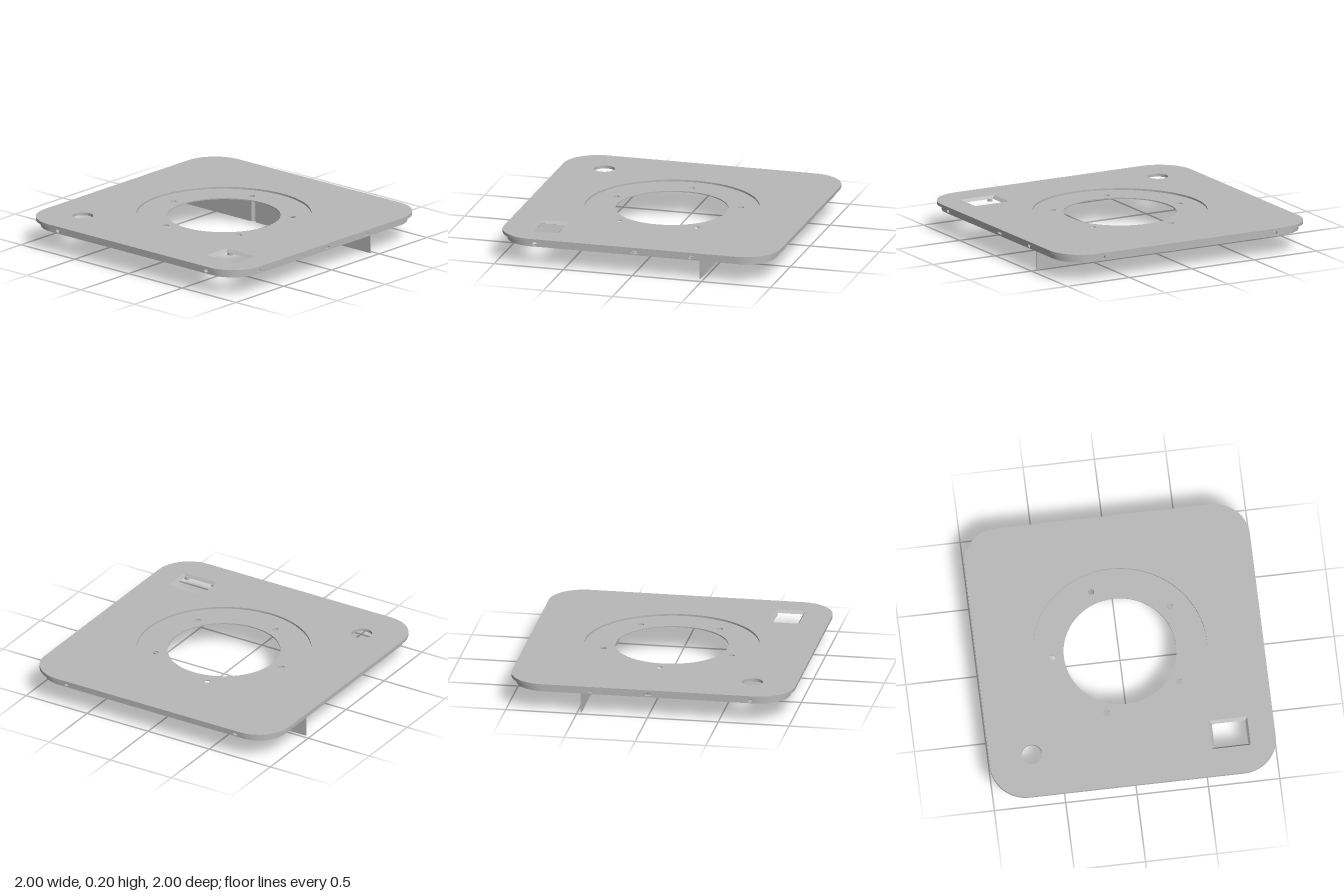
import * as THREE from 'three';
import { toCreasedNormals } from 'three/addons/utils/BufferGeometryUtils.js';

const TOP = 0.203, UNDER = 0.182, WALL_BOTTOM = 0.139;
const OUT = 0.966, THICK = 0.022, STRAIGHT = 0.75;

export function createModel() {
  const model = new THREE.Group();
  model.name = 'mountingPlate';
  const grey = new THREE.MeshStandardMaterial({ color: 0xb8b8b8, side: THREE.DoubleSide });
  grey.name = 'plain grey';

  const add = (name, geometry, parent = model) => {
    const mesh = new THREE.Mesh(geometry, grey);
    mesh.name = name;
    parent.add(mesh);
    return mesh;
  };
  const circle = (x, y, r) => new THREE.Path().absarc(x, y, r, 0, Math.PI * 2, true);
  const rect = (x0, y0, x1, y1, Type = THREE.Shape) => new Type([
    [x0, y0], [x1, y0], [x1, y1], [x0, y1], [x0, y0],
  ].map(([x, y]) => new THREE.Vector2(x, y)));
  const extrude = (shape, depth) => toCreasedNormals(
    new THREE.ExtrudeGeometry(shape, { depth, bevelEnabled: false, curveSegments: 32 }), 0.5);
  // Plan shape (x, z) extruded down from a top height
  const slab = (shape, top, bottom) =>
    extrude(shape, top - bottom).rotateX(Math.PI / 2).translate(0, top, 0);

  // Top plate with rounded corners
  const plate = new THREE.Shape();
  for (let i = 0; i < 4; i++) {
    const a = i * Math.PI / 2;
    const sx = i === 0 || i === 3 ? 1 : -1, sz = i < 2 ? 1 : -1;
    plate.absarc(sx * STRAIGHT, sz * STRAIGHT, 0.25, a, a + Math.PI / 2, false);
  }
  plate.closePath();
  const winTop = [0.55, 0.59, 0.82, 0.80], winLow = [0.57, 0.61, 0.805, 0.785];
  plate.holes.push(circle(0, 0, 0.61), circle(-0.7, 0.69, 0.072), rect(...winTop, THREE.Path));
  add('topPlate', slab(plate, TOP, UNDER));

  // Recessed ring with five screw holes around the large opening
  const ring = new THREE.Shape().absarc(0, 0, 0.61, 0, Math.PI * 2, false);
  ring.holes.push(circle(0, 0, 0.393));
  for (let i = 0; i < 5; i++) {
    const a = Math.PI + i * Math.PI * 2 / 5;
    ring.holes.push(circle(0.475 * Math.cos(a), 0.475 * Math.sin(a) - 0.007, 0.021));
  }
  add('recessedRing', slab(ring, 0.19, UNDER));

  // Sloping sides of the rectangular window, and the underside border
  const corners = ([x0, z0, x1, z1], y) => [[x0, y, z0], [x1, y, z0], [x1, y, z1], [x0, y, z1]];
  const upper = corners(winTop, TOP), lower = corners(winLow, UNDER), border = corners(winTop, UNDER);
  const points = [];
  for (let i = 0; i < 4; i++) {
    const j = (i + 1) % 4;
    for (const [a, b, c, d] of [
      [upper[i], lower[i], lower[j], upper[j]],
      [lower[i], border[i], border[j], lower[j]],
    ]) points.push(...a, ...c, ...b, ...a, ...d, ...c);
  }
  const bevel = new THREE.BufferGeometry();
  bevel.setAttribute('position', new THREE.Float32BufferAttribute(points, 3));
  // Turn the faces toward the opening
  const p = bevel.attributes.position, v = [0, 1, 2].map(() => new THREE.Vector3());
  const mid = new THREE.Vector3(0.687, 0.1, 0.697), n = new THREE.Vector3();
  for (let t = 0; t < p.count; t += 3) {
    v.forEach((q, k) => q.fromBufferAttribute(p, t + k));
    new THREE.Triangle(...v).getNormal(n);
    const slope = Math.abs(n.y) < 0.99;
    const target = slope ? mid.clone().setY(0.4) : mid;
    if (n.dot(target.sub(v[0])) < 0) {
      p.setXYZ(t + 1, ...v[2]);
      p.setXYZ(t + 2, ...v[1]);
    }
  }
  bevel.computeVertexNormals();
  add('windowBevel', bevel);

  // Small posts beneath the window corners
  for (const dx of [-0.11, 0.11]) for (const dz of [-0.108, 0.108]) {
    add('windowPost', new THREE.CylinderGeometry(0.018, 0.018, 0.02, 20)
      .translate(0.69 + dx, UNDER - 0.01, 0.695 + dz));
  }

  // Rim walls with screw holes; the side walls also have a slot
  const HOLE_Y = 0.161, HOLE_R = 0.016;
  const wall = (holes, slot) => {
    const s = rect(-STRAIGHT, WALL_BOTTOM, STRAIGHT, UNDER);
    for (const x of holes) s.holes.push(circle(x, HOLE_Y, HOLE_R));
    if (slot) s.holes.push(rect(-0.025, 0.15, 0.025, 0.178, THREE.Path));
    return extrude(s, THICK);
  };
  add('frontRim', wall([-0.69, 0.69]).translate(0, 0, OUT - THICK));
  add('backRim', wall([-0.69, 0.69]).translate(0, 0, -OUT));
  for (const [name, x] of [['leftRim', OUT - THICK], ['rightRim', -OUT]]) {
    add(name, wall([-0.72, 0.41], true).rotateY(Math.PI / 2).translate(x, 0, 0));
  }
  const arc = new THREE.Shape();
  arc.absarc(STRAIGHT, STRAIGHT, OUT - STRAIGHT, 0, Math.PI / 2, false);
  arc.absarc(STRAIGHT, STRAIGHT, OUT - STRAIGHT - THICK, Math.PI / 2, 0, true);
  arc.closePath();
  for (let i = 0; i < 4; i++) {
    add('cornerRim', slab(arc, UNDER, WALL_BOTTOM)).rotation.y = i * Math.PI / 2;
  }

  // Open channels running inward from the side slots
  for (const side of [-1, 1]) for (const z of [-0.034, 0.034]) {
    add('channelRib', new THREE.BoxGeometry(0.27, UNDER - 0.142, 0.016)
      .translate(side * 0.81, (UNDER + 0.142) / 2, z));
  }

  // Hanging panel, bent around one screw hole
  const panel = new THREE.Group();
  panel.name = 'hangingPanel';
  model.add(panel);
  const BEND_X = -0.142, BEND_R = 0.027, SHEET = 0.007, PANEL_Z = -0.477;
  for (const [x0, x1, hole] of [
    [-0.966, BEND_X - BEND_R + SHEET, -0.69], [BEND_X + BEND_R - SHEET, 0.943, 0.69],
  ]) {
    const s = rect(x0, 0, x1, UNDER);
    s.holes.push(circle(hole, HOLE_Y, HOLE_R));
    add('panelSheet', extrude(s, SHEET).translate(0, 0, PANEL_Z), panel);
  }
  const bend = new THREE.Shape();
  bend.absarc(BEND_X, PANEL_Z, BEND_R, Math.PI, Math.PI * 2, false);
  bend.absarc(BEND_X, PANEL_Z, BEND_R - SHEET, Math.PI * 2, Math.PI, true);
  bend.closePath();
  add('panelBend', slab(bend, UNDER, 0), panel);

  return model;
}
